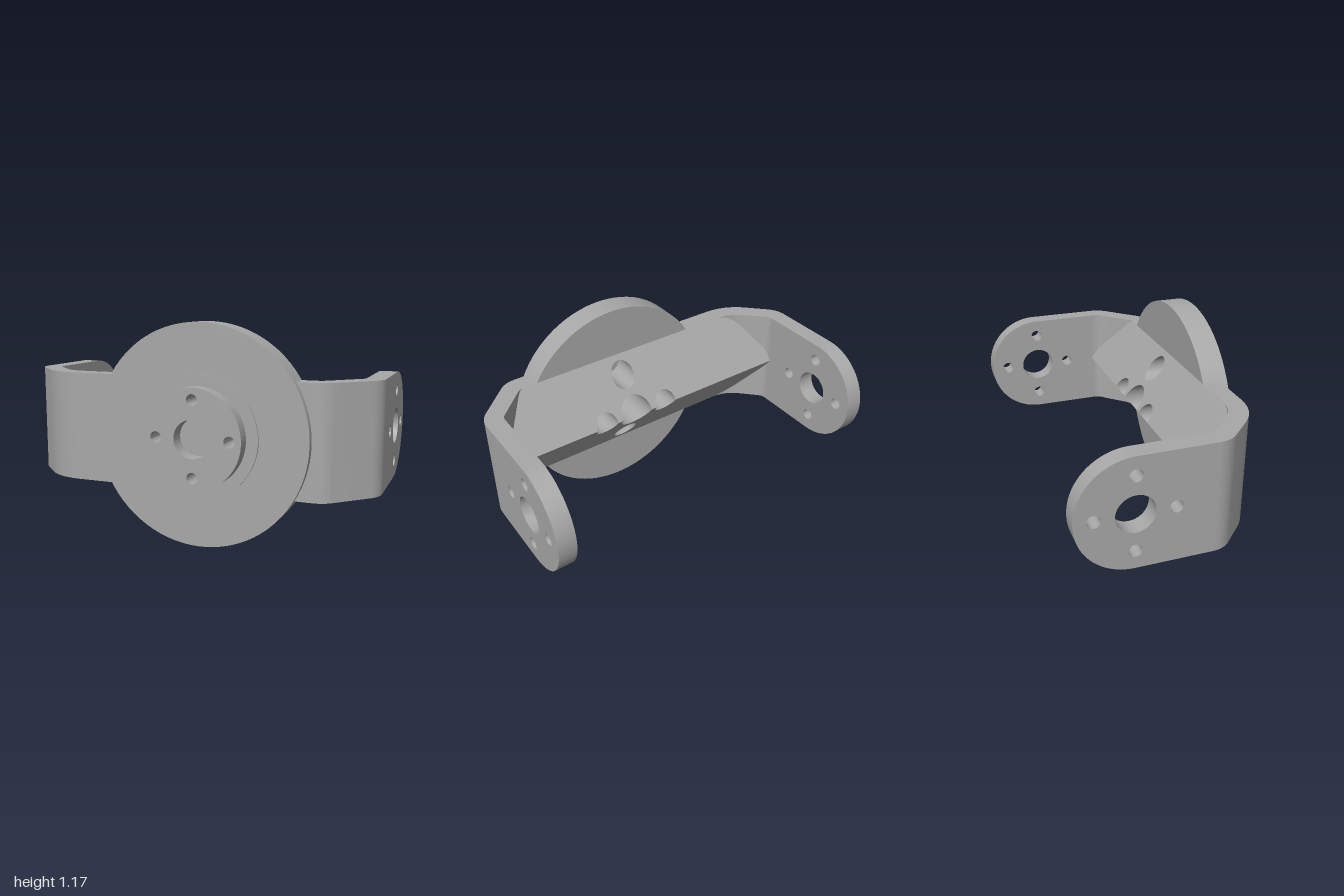
import * as THREE from 'three';
import { toCreasedNormals } from 'three/addons/utils/BufferGeometryUtils.js';

const MID_Y = 0.583;   // height of the hub axis
const HUB_X = 0.115;   // sideways offset of the hub axis
const HALF_H = 0.298;  // half height of the bracket strip
const RIDGE_Z = 0.115; // crest of the rear rib
const BACK_Z = 0.337;  // rear face of the bracket web
const FRONT_Z = 0.437; // front face of the bracket web
const FLOOR_Z = 0.42;  // floor of the rear counterbores
const SLOPE = (BACK_Z - RIDGE_Z) / HALF_H;
const PITCH = 0.2;     // bolt circle radius

export function createModel() {
  const metal = new THREE.MeshStandardMaterial({ color: 0xa8a8a8, side: THREE.DoubleSide });
  metal.name = 'grey metal';
  const model = new THREE.Group();
  model.name = 'bracketWithHub';
  const body = new THREE.Group();
  body.name = 'body';
  body.position.y = MID_Y;
  model.add(body);

  const add = (name, geometry) => {
    const mesh = new THREE.Mesh(geometry, metal);
    mesh.name = name;
    body.add(mesh);
  };
  const circle = (x, y, r) => new THREE.Path().absarc(x, y, r, 0, Math.PI * 2, false);
  // four bolt holes and a centre hole; a radius of 0 leaves the centre solid
  const holePattern = (x, y, small, centre) => {
    const holes = [[PITCH, 0], [-PITCH, 0], [0, PITCH], [0, -PITCH]]
      .map(([dx, dy]) => circle(x + dx, y + dy, small));
    if (centre) holes.push(circle(x, y, centre));
    return holes;
  };
  const extrude = (shape, depth, curveSegments) =>
    toCreasedNormals(new THREE.ExtrudeGeometry(shape, { depth, bevelEnabled: false, curveSegments }), 0.5);

  // Hub: stacked discs facing the front
  const disc = (name, r, z0, z1, small, centre) => {
    const shape = new THREE.Shape().absarc(HUB_X, 0, r, 0, Math.PI * 2, false);
    shape.holes = holePattern(HUB_X, 0, small, centre);
    add(name, extrude(shape, z1 - z0, 40).translate(0, 0, z0));
  };
  disc('discRear', MID_Y, BACK_Z, FLOOR_Z, 0.07, 0.1);
  disc('discFront', MID_Y, FLOOR_Z, 0.477, 0.03, 0);
  disc('hubStep', 0.325, 0.477, 0.486, 0.03, 0.1);
  disc('hubBoss', 0.262, 0.486, 0.56, 0.03, 0.1);

  // Plan curve of one bend: straight, chamfer and web, with rounded corners
  const bendCurve = (s, x, sum, webZ, t1, t2, endX) => {
    const k = Math.SQRT1_2;
    const z1 = sum - x, x2 = sum - webZ;
    const path = new THREE.Path().moveTo(s * x, RIDGE_Z);
    path.lineTo(s * x, z1 - t1);
    path.quadraticCurveTo(s * x, z1, s * (x - k * t1), z1 + k * t1);
    path.lineTo(s * (x2 + k * t2), webZ - k * t2);
    path.quadraticCurveTo(s * x2, webZ, s * (x2 - t2), webZ);
    path.lineTo(endX, webZ);
    return path.getPoints(10);
  };

  // Bracket: a bend and a rounded arm on each side
  const inner = {};
  for (const side of [
    { s: 1, name: 'left', endX: 0.5, outT: 0.055, inT: 0.03 },
    { s: -1, name: 'right', endX: -0.3, outT: 0.14, inT: 0.1 },
  ]) {
    const outer = bendCurve(side.s, 1, 1.197, FRONT_Z, 0.06, side.outT, side.endX);
    inner[side.name] = bendCurve(side.s, 0.9, 1.056, BACK_Z, 0.025, side.inT, side.endX);
    const plan = new THREE.Shape([...outer, ...inner[side.name].slice().reverse()]);
    add(side.name + 'Bend', extrude(plan, 2 * HALF_H, 10).rotateX(Math.PI / 2).translate(0, HALF_H, 0));

    const armZ = -0.56 + HALF_H;
    const arm = new THREE.Shape().moveTo(RIDGE_Z, -HALF_H);
    arm.lineTo(RIDGE_Z, HALF_H);
    arm.lineTo(armZ, HALF_H);
    arm.absarc(armZ, 0, HALF_H, Math.PI / 2, Math.PI * 1.5, false);
    arm.holes = holePattern(armZ, 0, 0.034, 0.1);
    add(side.name + 'Arm', extrude(arm, 0.1, 24).rotateY(-Math.PI / 2)
      .translate(side.s > 0 ? 1 : -0.9, 0, 0));
  }

  // Rear rib: two sloping faces, trimmed by the inside of the bends
  const onSlope = (p) => [p.x, (p.y - RIDGE_Z) / SLOPE];
  for (const s of [1, -1]) {
    const face = new THREE.Shape().moveTo(-0.9, 0);
    for (const [dx, r] of [[-PITCH, 0.07], [0, 0.1], [PITCH, 0.07]]) {
      face.lineTo(HUB_X + dx - r, 0);
      face.absarc(HUB_X + dx, 0, r, Math.PI, 0, true);
    }
    inner.left.forEach((p) => face.lineTo(...onSlope(p)));
    inner.right.slice().reverse().forEach((p) => face.lineTo(...onSlope(p)));
    face.holes = [circle(HUB_X, PITCH, 0.07)];
    const geometry = new THREE.ShapeGeometry(face, 24);
    const pos = geometry.attributes.position;
    for (let i = 0; i < pos.count; i++) {
      const y = pos.getY(i);
      pos.setXYZ(i, pos.getX(i), s * y, RIDGE_Z + SLOPE * y);
    }
    geometry.computeVertexNormals();
    add(s > 0 ? 'ribUpperFace' : 'ribLowerFace', geometry);
  }

  // Walls of the rear counterbores, trimmed to the sloping rib
  for (const [dx, dy, r] of [[0, 0, 0.1], [PITCH, 0, 0.07], [-PITCH, 0, 0.07], [0, PITCH, 0.07], [0, -PITCH, 0.07]]) {
    const wall = new THREE.CylinderGeometry(r, r, 1, 48, 1, true)
      .rotateX(Math.PI / 2).translate(HUB_X + dx, dy, 0);
    const pos = wall.attributes.position;
    for (let i = 0; i < pos.count; i++) {
      pos.setZ(i, pos.getZ(i) > 0 ? BACK_Z : RIDGE_Z + SLOPE * Math.abs(pos.getY(i)));
    }
    add('counterboreWall', wall);
  }
  return model;
}
